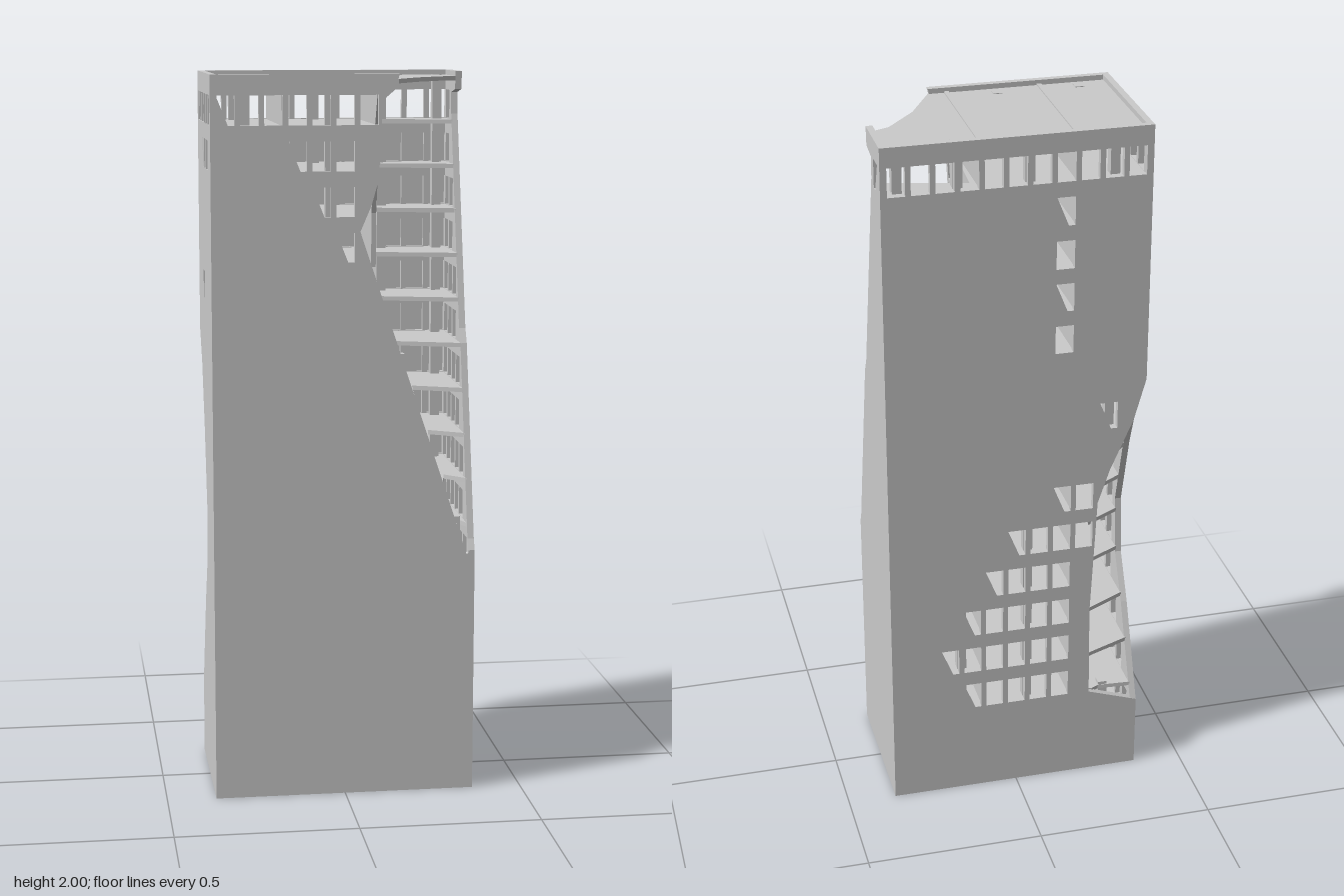
import * as THREE from 'three';

const W = 0.363, D = 0.215, H = 2, SKIN = 0.004, WALL = 0.018;
const PITCH = 0.0645, STOREY = 0.1225;
const mat = new THREE.MeshStandardMaterial({ color: 0xcccccc, flatShading: true, side: THREE.DoubleSide });

const toVecs = pts => pts.map(p => new THREE.Vector2(p[0], p[1]));

// Flat plate with holes, extruded along its normal axis: 'z', 'x' or 'y'
// Outline points are (x,y) for 'z', (z,y) for 'x', (x,z) for 'y'
function plate(name, axis, pts, holes, start, depth) {
  const map = p => axis === 'z' ? p : axis === 'x' ? [-p[0], p[1]] : [p[0], -p[1]];
  const shape = new THREE.Shape(toVecs(pts.map(map)));
  holes.forEach(h => shape.holes.push(new THREE.Path(toVecs(h.map(map)))));
  const geo = new THREE.ExtrudeGeometry(shape, { depth, bevelEnabled: false });
  if (axis === 'x') geo.rotateY(Math.PI / 2);
  if (axis === 'y') geo.rotateX(-Math.PI / 2);
  geo.translate(axis === 'x' ? start : 0, axis === 'y' ? start : 0, axis === 'z' ? start : 0);
  const mesh = new THREE.Mesh(geo, mat);
  mesh.name = name;
  return mesh;
}

// Piecewise linear value from [y, value] pairs in rising y
function lerpTable(table, y) {
  for (let i = 1; i < table.length; i++) {
    const [y0, v0] = table[i - 1], [y1, v1] = table[i];
    if (y <= y1) return v0 + (v1 - v0) * Math.max(0, (y - y0) / (y1 - y0));
  }
  return table[table.length - 1][1];
}

function inside(pts, x, y) {
  let hit = false;
  pts.forEach(([ax, ay], i) => {
    const [bx, by] = pts[(i + 1) % pts.length];
    if ((ay > y) !== (by > y) && x < ax + (bx - ax) * (y - ay) / (by - ay)) hit = !hit;
  });
  return hit;
}

// Window of column centre u and row r; cut -1/+1 slices off the lower corner on that side
function windowHole(u, r, cut = 0) {
  const w = 0.025, y0 = 1.865 - r * STOREY, y1 = y0 + 0.08;
  const left = u - w + (cut < 0 ? 0.032 : 0), right = u + w - (cut > 0 ? 0.032 : 0);
  return [[left, y0], [right, y0], [u + w, y1], [u - w, y1]];
}

// A hole is kept only where it lies well within the outline
function fits(outline, hole) {
  const m = 0.004, xs = hole.map(p => p[0]), ys = hole.map(p => p[1]);
  const x0 = Math.min(...xs) - m, x1 = Math.max(...xs) + m;
  const y0 = Math.min(...ys) - m, y1 = Math.max(...ys) + m;
  return [[x0, y0], [x1, y0], [x1, y1], [x0, y1]].every(p => inside(outline, ...p)) &&
    !outline.some(p => p[0] > x0 && p[0] < x1 && p[1] > y0 && p[1] < y1);
}

// Broken edges of the two damaged corners, by height
const frontEdge = [[0.68, 0.34], [1.58, 0.04], [1.65, 0.07], [1.72, 0.09], [1.93, 0.1], [1.96, 0.135], [2, 0.145]];
const sideEdge = [[0.72, 0.2], [1.25, 0.068], [1.29, 0.045], [1.88, -0.105], [1.94, -0.11], [1.95, -0.05], [2, -0.045]];
const backEdge = [[0.22, -W], [0.27, -0.218], [0.55, -0.215], [0.9, -0.232], [1.0, -0.265], [1.15, -0.33], [1.27, -W]];
const leftEdge = [[0.22, -D], [0.355, -0.158], [0.49, -0.1], [0.62, -0.03], [0.79, -0.015], [1.01, -0.08], [1.18, -0.148], [1.27, -D]];
const flip = t => t.map(([y, v]) => [v, y]);

const outlines = {
  front: [[-W, 0], [W, 0], [W, 0.69], ...flip(frontEdge), [-W, H]],
  right: [[-D, 0], [D, 0], [D, 0.69], ...flip(sideEdge), [-D, H]],
  back: [[W, 0], [W, H], [-W, H], ...flip(backEdge).reverse(), [-W, 0]],
  left: [[D, 0], [D, H], [-D, H], ...flip(leftEdge).reverse(), [-D, 0]],
};

// Open windows in the outer skin: [row, first column, last column, sliced side of the first, of the last]
const openings = {
  front: [[0, -5, 1, -1], [1, -2, 1, -1], [2, -1, 1, -1], [3, 0, 0, -1]],
  right: [[0, -3, -3, -1]],
  back: [[0, -5, 5], [1, -2, -2, 1], [2, -2, -2], [3, -2, -2, 1], [4, -2, -2], [6, -4, -4, 1], [7, -4, -4],
    [8, -3, -2, 0, 1], [9, -3, 0, 0, 1], [10, -3, 1, 0, 1], [11, -3, 2, 0, 1], [12, -3, 3, 0, 1], [13, -3, 2, 0, 1]],
  left: [[0, -3, 2], [1, -1, 1, -1], [4, -1, -1, 1]],
};

function facade(side) {
  const g = new THREE.Group();
  g.name = side + 'Wall';
  const long = side === 'front' || side === 'back', positive = side === 'front' || side === 'right';
  const axis = long ? 'z' : 'x', face = long ? D : W, outline = outlines[side];
  const centre = c => (c + (long ? 0 : 0.5)) * PITCH;
  const skinHoles = [], frameHoles = [];
  for (const [row, a, b, cutA = 0, cutB = 0] of openings[side])
    for (let c = a; c <= b; c++)
      skinHoles.push(windowHole(centre(c), row, (c === a && cutA) || (c === b && cutB) || 0));
  for (let row = 0; row < 15; row++)
    for (let c = long ? -5 : -3; c <= (long ? 5 : 2); c++) frameHoles.push(windowHole(centre(c), row));
  const keep = h => fits(outline, h);
  // Outer skin and the window frame behind it
  g.add(plate(side + 'Skin', axis, outline, skinHoles.filter(keep), positive ? face - SKIN : -face, SKIN));
  g.add(plate(side + 'WindowFrame', axis, outline, frameHoles.filter(keep),
    positive ? face - WALL : -face + SKIN, WALL - SKIN));
  return g;
}

// Floor slab with broken corners following the wall damage
function floorSlab(y, i) {
  const X = 0.348, Z = 0.2;
  let pts = [[X, -Z]];
  if (y > 1.95) pts.push([X, -0.05], [0.3, -0.03], [0.215, 0.07], [0.145, Z]);
  else if (y > 0.73) {
    const a = lerpTable(frontEdge, y), b = lerpTable(sideEdge, y);
    pts.push([X, b], [Math.min(a + 0.02, X - 0.02), b - 0.06], [Math.min(a, X - 0.03), Z]);
  } else pts.push([X, Z]);
  pts.push([-X, Z]);
  if (y > 0.25 && y < 1.16) {
    const a = lerpTable(backEdge, y), b = lerpTable(leftEdge, y);
    pts.push([-X, b], [a - 0.02, Math.max(b - 0.06, -Z + 0.01)], [Math.max(a, -X + 0.03), -Z]);
  } else pts.push([-X, -Z]);
  return plate(i === 0 ? 'roofSlab' : 'floorSlab', 'y', pts, [], y - 0.006, 0.012);
}

function column(x, z, y0, y1) {
  const m = new THREE.Mesh(new THREE.BoxGeometry(0.026, y1 - y0, 0.028), mat);
  m.position.set(x, (y0 + y1) / 2, z);
  m.name = 'column';
  return m;
}

export function createModel() {
  const model = new THREE.Group();
  model.name = 'damagedTower';
  for (const side of ['front', 'right', 'back', 'left']) model.add(facade(side));

  // Floors from roof to base
  const floors = new THREE.Group();
  floors.name = 'floors';
  for (let i = 0; i <= 16; i++) floors.add(floorSlab(1.98 - i * STOREY, i));
  model.add(floors);

  // Cross walls, the right one broken towards the front
  const low = 0.008, top = 1.99, Z = 0.2;
  model.add(plate('crossWall', 'x', [[-Z, low], [Z, low], [Z, top], [-Z, top]], [], -0.17, 0.013));
  model.add(plate('brokenCrossWall', 'x', [[-Z, low], [Z, low], [Z, 1.25], [0.15, 1.36], [0.09, 1.47],
    [0.095, 1.62], [0.13, 1.75], [0.155, 1.86], [Z, 1.95], [Z, top], [-Z, top]], [], 0.088, 0.013));

  // Columns, shortened where the corners are broken away
  const columns = new THREE.Group();
  columns.name = 'columns';
  for (const x of [-0.267, -0.038, 0.155, 0.314]) {
    columns.add(column(x, 0.167, low, x > 0.3 ? 0.78 : x > 0.1 ? 1.24 : 1.988));
    if (x < -0.2) columns.add(column(x, -0.175, low, 0.28), column(x, -0.175, 1.0, 1.988));
    else columns.add(column(x, -0.175, low, 1.988));
  }
  model.add(columns);
  return model;
}
